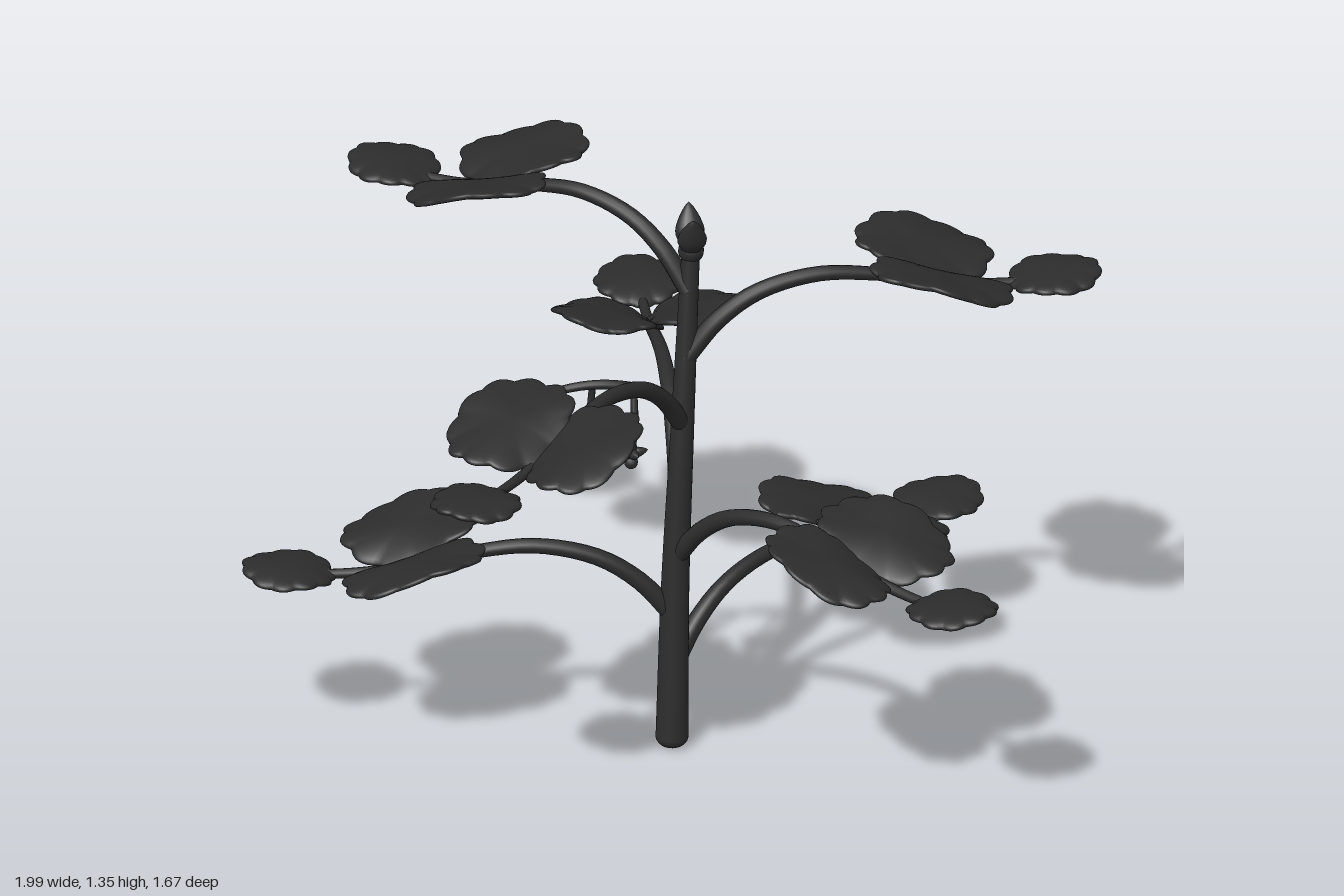
import * as THREE from 'three';

const material = new THREE.MeshStandardMaterial({ color: 0x2c2c2c });
const V = (x, y, z) => new THREE.Vector3(x, y, z);

function add(parent, name, geometry, x = 0, y = 0, z = 0) {
  const mesh = new THREE.Mesh(geometry, material);
  mesh.name = name;
  mesh.position.set(x, y, z);
  parent.add(mesh);
  return mesh;
}

// Tube along a smooth curve that narrows from r0 to r1
function taperedTube(points, r0, r1, segments = 32, sides = 12) {
  const curve = new THREE.CatmullRomCurve3(points);
  const geo = new THREE.TubeGeometry(curve, segments, 1, sides);
  const pos = geo.attributes.position;
  const p = new THREE.Vector3();
  for (let i = 0; i < pos.count; i++) {
    const t = Math.floor(i / (sides + 1)) / segments;
    const c = curve.getPointAt(t);
    p.fromBufferAttribute(pos, i).sub(c).multiplyScalar(r0 + (r1 - r0) * t).add(c);
    pos.setXYZ(i, p.x, p.y, p.z);
  }
  return geo;
}

// Thick leaf with a scalloped edge; lift(u, v, rho, angle) bends it vertically
function leafGeometry(halfLength, halfWidth, thickness, lobes, lift) {
  const geo = new THREE.SphereGeometry(1, 88, 20);
  const pos = geo.attributes.position;
  for (let i = 0; i < pos.count; i++) {
    const x = pos.getX(i), y = pos.getY(i), z = pos.getZ(i);
    const rho = Math.hypot(x, z), a = Math.atan2(z, x);
    const edge = 1 - 0.08 * rho * rho * (1 - Math.abs(Math.sin(a * lobes / 2)));
    const u = x * edge * halfLength, v = z * edge * halfWidth;
    const h = Math.sign(y) * Math.pow(Math.abs(y), 0.6) * thickness;
    pos.setXYZ(i, u, h + lift(u, v, rho, a), v);
  }
  geo.computeVertexNormals();
  return geo;
}

// Teardrop turned around y, base at the origin, tip at the given length
function drop(radius, length) {
  const profile = [[0, 0], [0.6, 0.08], [1, 0.35], [0.8, 0.62], [0.35, 0.88], [0, 1]]
    .map(([r, h]) => new THREE.Vector2(r * radius, h * length));
  return new THREE.LatheGeometry(new THREE.SplineCurve(profile).getPoints(16)
    .map(p => p.set(Math.max(p.x, 0), p.y)), 16);
}

const stemPoints = [V(-0.015, 0.025, 0.15), V(-0.005, 0.4, 0.127), V(0.015, 0.8, 0.1), V(0.04, 1.23, 0.05)];
const stemCurve = new THREE.CatmullRomCurve3(stemPoints);

// Branch with two side leaflets and an end leaflet, running out along local +x
function makeBranch(tipX, tipY, tipZ) {
  const group = new THREE.Group();
  const rootY = tipY - 0.13;
  const root = stemCurve.getPoint(THREE.MathUtils.clamp((rootY - 0.02) / 1.21, 0, 1));
  const dx = tipX - root.x, dz = tipZ - root.z, L = Math.hypot(dx, dz);
  group.position.set(root.x, rootY, root.z);
  group.rotation.y = Math.atan2(-dz, dx);

  const path = [[0, 0], [0.09, 0.09], [0.2, 0.152], [0.36, 0.182], [0.52, 0.168], [0.74, 0.125], [0.9, 0.115], [1, 0.12]];
  add(group, 'branchStalk', taperedTube(path.map(([d, h]) => V(d * L, h, 0)), 0.023, 0.01));

  for (const s of [-1, 1]) {
    const leaf = leafGeometry(0.168, 0.128, 0.013, 11, (u, v, rho, a) =>
      -0.2 * u + 0.22 * s * v + 0.012 * rho * rho * Math.cos(3 * a + s)
      + 0.35 * Math.pow(Math.max(-u - 0.05, 0), 1.2) * 0.6 - 0.012 * rho * rho);
    const mesh = add(group, 'sideLeaflet', leaf, L - 0.285, 0.186 + 0.004 * s, s * 0.104);
    mesh.rotation.y = -s * 0.18;
  }
  add(group, 'endLeaflet', leafGeometry(0.11, 0.105, 0.013, 11, (u, v, rho, a) =>
    0.08 * u - 0.012 * rho * rho + 0.005 * rho * rho * Math.cos(3 * a)), L, 0.135, 0);
  return group;
}

// Small hanging flower: cone body, star of pointed sepals, rounded tip
function makeFlower() {
  const flower = new THREE.Group();
  add(flower, 'flowerCone', new THREE.CylinderGeometry(0.009, 0.018, 0.035, 12), 0, 0.012, 0);
  add(flower, 'flowerTip', new THREE.SphereGeometry(0.016, 12, 8), 0, -0.022, 0);
  for (let i = 0; i < 5; i++) {
    const pivot = new THREE.Group();
    pivot.rotation.y = i * Math.PI * 2 / 5;
    const sepal = add(pivot, 'sepal', drop(0.012, 0.04));
    sepal.rotation.z = -1.35;
    flower.add(pivot);
  }
  return flower;
}

export function createModel() {
  const model = new THREE.Group();
  model.name = 'plant';

  // Main stem with a rounded foot
  add(model, 'stem', taperedTube(stemPoints, 0.038, 0.021, 48, 20));
  const foot = add(model, 'stemFoot', new THREE.SphereGeometry(0.038, 20, 12), -0.015, 0.027, 0.15);
  foot.scale.y = 0.7;

  // Seven leafy branches spiralling up the stem
  const tips = [
    [0.66, 0.33, -0.41], [-0.89, 0.455, 0.055], [0.57, 0.6, 0.72], [0.005, 0.765, -0.735],
    [-0.53, 0.93, 0.72], [0.885, 1.09, 0], [-0.595, 1.25, -0.415],
  ];
  tips.forEach((tip, i) => {
    const branch = makeBranch(...tip);
    branch.name = 'branch' + (i + 1);
    model.add(branch);
  });

  // Opening bud at the top of the stem
  const bud = new THREE.Group();
  bud.name = 'topBud';
  bud.position.set(0.04, 1.215, 0.05);
  add(bud, 'budBase', new THREE.SphereGeometry(0.03, 16, 12));
  for (const s of [-1, 1]) {
    const bract = add(bud, 'budBract', drop(0.034, 0.11), 0, 0, s * 0.006);
    bract.rotation.x = s * 0.42;
    bract.scale.z = 0.7;
  }
  model.add(bud);

  // Arching flower stalk
  const cluster = new THREE.Group();
  cluster.name = 'flowerCluster';
  add(cluster, 'flowerStalk', taperedTube(
    [V(0.015, 0.82, 0.1), V(-0.05, 0.885, 0.115), V(-0.16, 0.917, 0.12), V(-0.26, 0.905, 0.11), V(-0.32, 0.875, 0.1)], 0.014, 0.009));
  add(cluster, 'stalkEnd', new THREE.SphereGeometry(0.01, 10, 8), -0.32, 0.875, 0.1);

  // Hanging flowers: stalk attachment, then flower position
  const flowers = [
    [V(-0.275, 0.9, 0.11), V(-0.285, 0.765, 0.17)],
    [V(-0.195, 0.913, 0.115), V(-0.215, 0.765, 0.09)],
    [V(-0.1, 0.903, 0.12), V(-0.11, 0.755, 0.155)],
  ];
  for (const [top, end] of flowers) {
    const mid = top.clone().lerp(end, 0.5).add(V(0.004, 0, 0.006));
    add(cluster, 'pedicel', taperedTube([top, mid, end], 0.008, 0.01, 12, 10));
    const flower = makeFlower();
    flower.name = 'flower';
    flower.position.copy(end);
    cluster.add(flower);
  }

  // Hanging fruit at the end of the stalk
  add(cluster, 'fruitPedicel', taperedTube([V(-0.32, 0.875, 0.1), V(-0.318, 0.83, 0.107), V(-0.315, 0.785, 0.115)], 0.009, 0.009, 10, 10));
  const fruit = add(cluster, 'fruit', drop(0.035, 0.11), -0.315, 0.8, 0.115);
  fruit.rotation.x = Math.PI - 0.15;
  model.add(cluster);

  return model;
}
